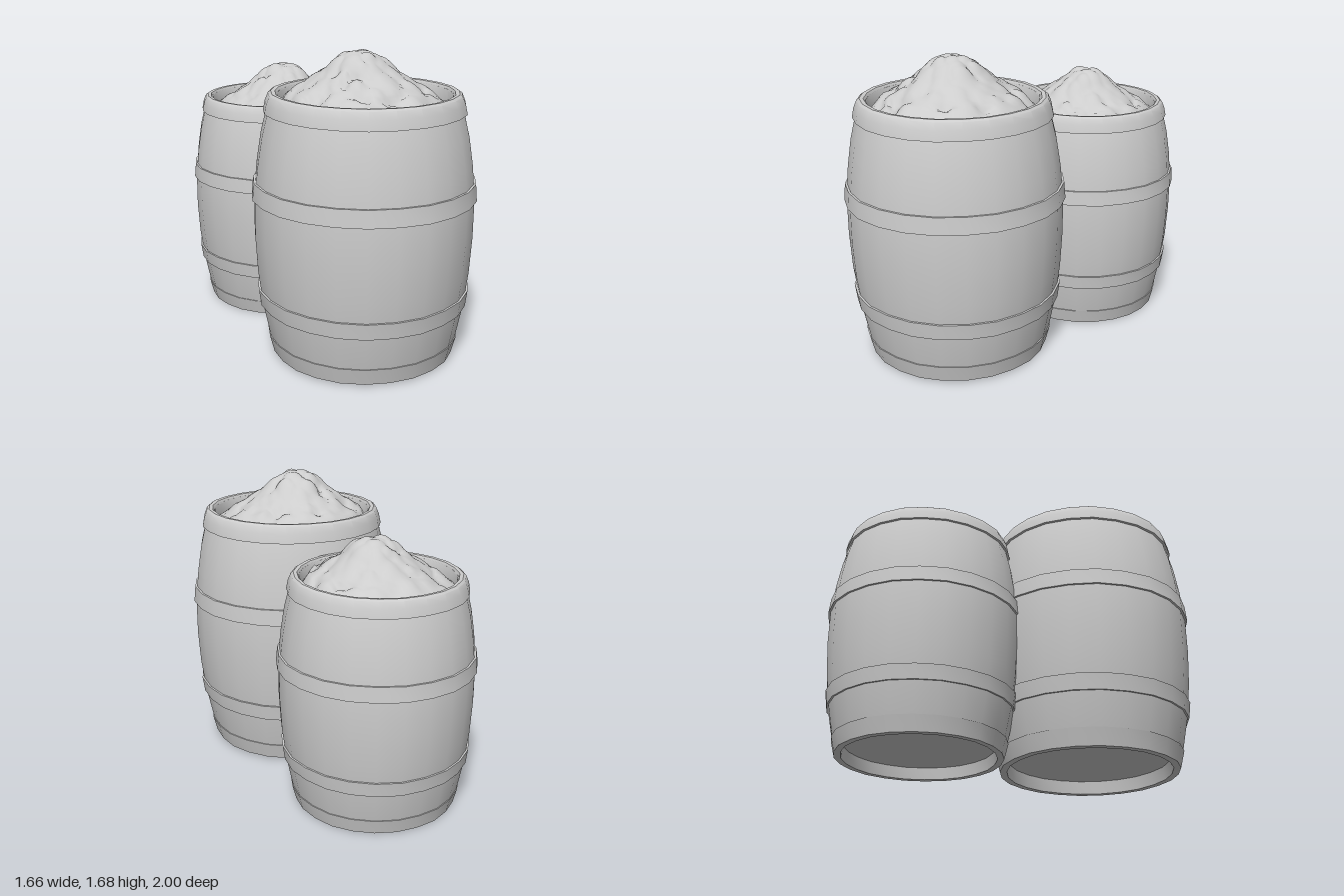
import * as THREE from 'three';
import { mergeVertices, toCreasedNormals } from 'three/addons/utils/BufferGeometryUtils.js';

const vectors = (pairs) => pairs.map(([r, y]) => new THREE.Vector2(r, y));

function seeded(seed) {
  let s = seed;
  return () => (s = (s * 16807) % 2147483647) / 2147483647;
}

// Lathe with a slight hand-carved wobble and crisp profile corners
function turned(pairs, phase) {
  const geo = new THREE.LatheGeometry(vectors(pairs), 24);
  const p = geo.attributes.position;
  for (let i = 0; i < p.count; i++) {
    const x = p.getX(i), y = p.getY(i), z = p.getZ(i);
    const a = Math.atan2(z, x);
    const k = 1 + 0.006 * Math.sin(7 * a + phase + y * 3) * Math.sin(3 * a - y * 2);
    p.setX(i, x * k);
    p.setZ(i, z * k);
  }
  geo.deleteAttribute('uv');
  return toCreasedNormals(geo, 0.6);
}

// Conical pile covered with overlapping rounded lumps
function heapGeometry(seed) {
  const rand = seeded(seed);
  const lumps = [];
  for (let i = 0; i < 95; i++) {
    const a = i * 2.39996 + rand() * 0.5;
    const r = 0.44 * Math.sqrt((i + 0.5) / 95);
    lumps.push({
      x: r * Math.cos(a), z: r * Math.sin(a),
      size: 0.045 + 0.04 * rand(), lift: 0.6 + 0.4 * rand(),
    });
  }
  const slope = new THREE.CatmullRomCurve3([
    [0.465, 1.385], [0.37, 1.445], [0.3, 1.485], [0.2, 1.555], [0.13, 1.615], [0.07, 1.65], [0, 1.66],
  ].map(([r, y]) => new THREE.Vector3(r, y, 0)));
  const profile = slope.getPoints(34).map((v) => new THREE.Vector2(Math.max(0, v.x), v.y));
  let geo = new THREE.LatheGeometry(profile, 72);
  const p = geo.attributes.position;
  for (let i = 0; i < p.count; i++) {
    const x = p.getX(i), z = p.getZ(i);
    const edge = Math.min(1, Math.max(0, (0.465 - Math.hypot(x, z)) / 0.08));
    let bump = 0;
    for (const l of lumps) {
      const d = Math.hypot(x - l.x, z - l.z) / l.size;
      if (d < 1) bump = Math.max(bump, 0.045 * l.lift * Math.sqrt(1 - d * d));
    }
    p.setXYZ(i, x - 0.03 * edge, p.getY(i) + (bump - 0.008) * edge, z);
  }
  geo.deleteAttribute('uv');
  geo.deleteAttribute('normal');
  geo = mergeVertices(geo, 1e-4);
  geo.computeVertexNormals();
  return geo;
}

function makeBarrel(name, material, seed) {
  const barrel = new THREE.Group();
  barrel.name = name;
  const add = (part, geo) => {
    const mesh = new THREE.Mesh(geo, material);
    mesh.name = part;
    barrel.add(mesh);
  };

  // Staves with recessed base and open top
  add('staves', turned([
    [0, 0.09], [0.46, 0.09], [0.47, 0.015], [0.505, 0.015], [0.528, 0.11], [0.565, 0.3],
    [0.59, 0.5], [0.602, 0.7], [0.602, 0.92], [0.583, 1.1], [0.558, 1.25], [0.52, 1.4],
    [0.5, 1.455], [0.468, 1.455], [0.46, 1.36],
  ], seed));

  // Hoops: bottom and top radius, bottom and top height
  const hoops = [
    ['baseHoop', 0.51, 0.534, 0.015, 0.11],
    ['lowerHoop', 0.576, 0.588, 0.3, 0.39],
    ['upperHoop', 0.615, 0.606, 0.905, 0.998],
  ];
  for (const [part, r0, r1, y0, y1] of hoops) {
    add(part, turned([
      [r0 - 0.03, y0], [r0, y0], [r1, y1], [r1 - 0.03, y1],
    ], seed));
  }

  // Rounded rim around the mouth
  add('rim', turned([
    [0.51, 1.365], [0.543, 1.368], [0.532, 1.42], [0.515, 1.46], [0.5, 1.47],
    [0.478, 1.468], [0.465, 1.45], [0.458, 1.37],
  ], seed));

  add('heap', heapGeometry(seed));
  return barrel;
}

export function createModel() {
  const model = new THREE.Group();
  model.name = 'filledBarrels';
  const grey = new THREE.MeshStandardMaterial({ color: 0xcccccc });
  grey.name = 'pale grey';

  const large = makeBarrel('largeBarrel', grey, 11);
  large.position.set(0.215, 0, 0.382);
  model.add(large);

  const small = makeBarrel('smallBarrel', grey, 57);
  small.scale.setScalar(0.89);
  small.position.set(-0.287, -0.008, -0.463);
  small.rotation.y = 2.6;
  model.add(small);
  return model;
}
